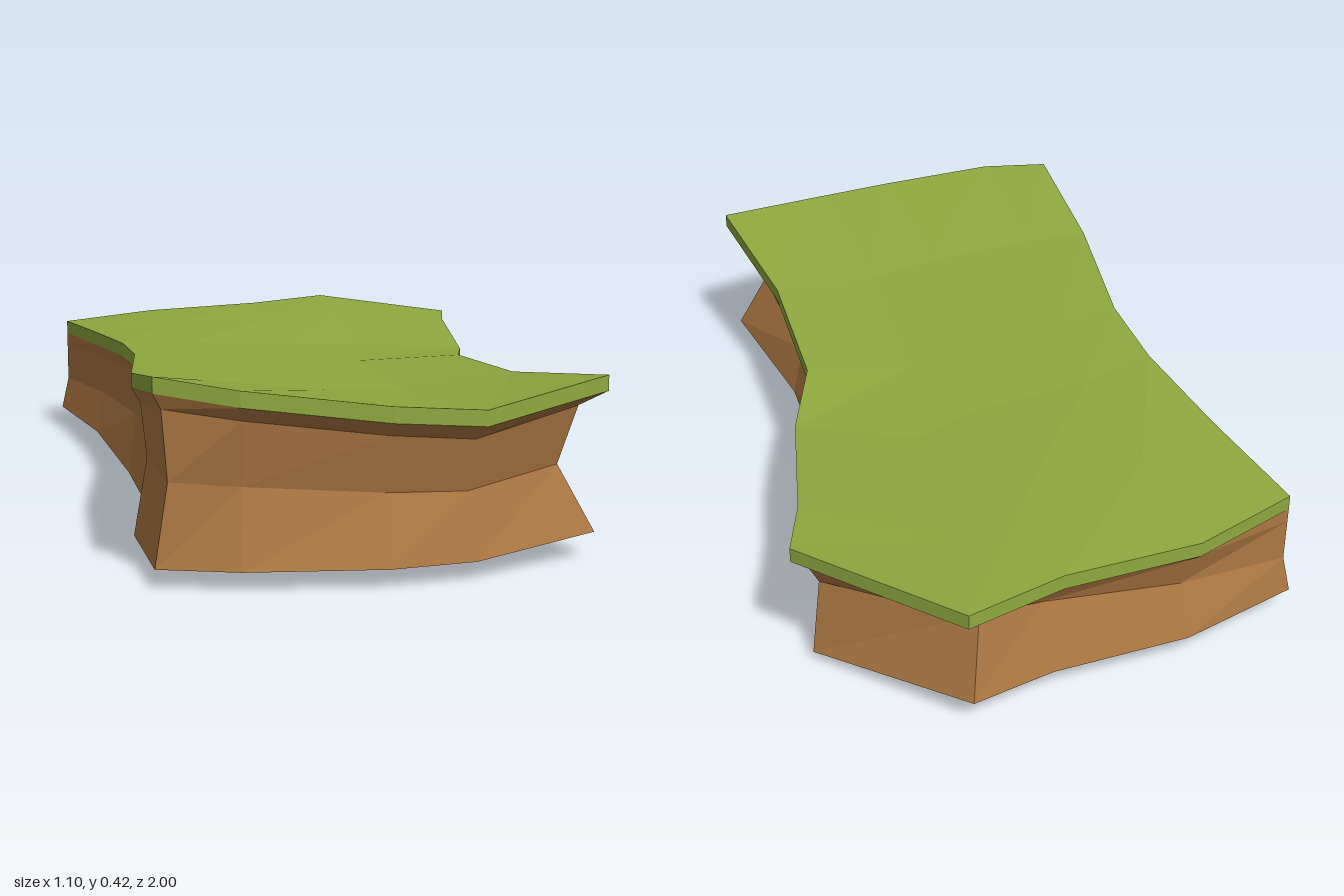
import * as THREE from 'three';

// Outline, counter-clockwise from above, starting at the front -x corner:
// x, z, turf height, waist inset, waist height, foot inset, foot height
const OUTLINE = [
  [-0.44, 0.90, 0.42, 0.03, 0.21, 0.0, 0.04],
  [-0.28, 0.97, 0.40, 0.06, 0.20, 0.02, 0.04],
  [0.01, 0.995, 0.365, 0.07, 0.18, 0.015, 0.04],
  [0.20, 0.985, 0.35, 0.07, 0.175, 0.03, 0.04],
  [0.495, 0.84, 0.385, 0.10, 0.195, 0.02, 0.055],
  [0.41, 0.46, 0.33, 0.06, 0.14, 0.03, 0.015],
  [0.395, 0.06, 0.305, 0.05, 0.14, 0.03, 0.012],
  [0.46, -0.16, 0.285, 0.07, 0.13, 0.04, 0.01],
  [0.51, -0.53, 0.31, 0.08, 0.21, 0.05, 0.035],
  [0.55, -0.68, 0.313, 0.07, 0.195, 0.045, 0.02],
  [0.25, -1.0, 0.325, 0.12, 0.235, 0.06, 0.055],
  [0.03, -0.91, 0.318, 0.08, 0.20, 0.03, 0.05],
  [-0.28, -0.86, 0.31, 0.06, 0.17, 0.02, 0.05],
  [-0.53, -0.73, 0.302, 0.0, 0.14, -0.02, 0.055],
  [-0.47, -0.42, 0.315, 0.02, 0.15, 0.0, 0.045],
  [-0.42, -0.11, 0.33, 0.03, 0.15, 0.01, 0.0],
  [-0.41, 0.13, 0.34, 0.03, 0.16, 0.01, 0.0],
  [-0.45, 0.53, 0.365, 0.03, 0.18, 0.0, 0.01],
];
const N = OUTLINE.length, COLS = 4, ROWS = 5;

// Ring of points at a given height, pulled in from the outline
function makeRing(inset, height) {
  return OUTLINE.map((p, i) => {
    const a = OUTLINE[(i + N - 1) % N], b = OUTLINE[(i + 1) % N];
    const n = new THREE.Vector2(a[1] - b[1], b[0] - a[0]).normalize();
    return new THREE.Vector3(p[0] - n.x * inset(p), height(p), p[1] - n.y * inset(p));
  });
}

function quad(out, a, b, c, d) {
  for (const v of [a, b, c, a, c, d]) out.push(v.x, v.y, v.z);
}

// Walls between successive rings, from top to bottom
function addWalls(out, rings) {
  for (let k = 0; k + 1 < rings.length; k++) {
    for (let i = 0; i < N; i++) {
      const j = (i + 1) % N;
      quad(out, rings[k + 1][i], rings[k + 1][j], rings[k][j], rings[k][i]);
    }
  }
}

// Gently curved surface blended from its four boundary edges
function addCap(out, ring, up) {
  const front = c => ring[c], back = c => ring[COLS + ROWS + COLS - c];
  const right = r => ring[COLS + r], left = r => ring[(N - r) % N];
  const point = (r, c) => {
    const u = c / COLS, v = r / ROWS, p = new THREE.Vector3();
    p.addScaledVector(front(c), 1 - v).addScaledVector(back(c), v);
    p.addScaledVector(left(r), 1 - u).addScaledVector(right(r), u);
    p.addScaledVector(front(0), -(1 - u) * (1 - v)).addScaledVector(front(COLS), -u * (1 - v));
    return p.addScaledVector(back(0), -(1 - u) * v).addScaledVector(back(COLS), -u * v);
  };
  for (let r = 0; r < ROWS; r++) {
    for (let c = 0; c < COLS; c++) {
      const q = [point(r, c), point(r, c + 1), point(r + 1, c + 1), point(r + 1, c)];
      if (!up) q.reverse();
      quad(out, ...q);
    }
  }
}

function makeMesh(name, positions, color) {
  const geometry = new THREE.BufferGeometry();
  geometry.setAttribute('position', new THREE.Float32BufferAttribute(positions, 3));
  geometry.computeVertexNormals();
  const mesh = new THREE.Mesh(geometry, new THREE.MeshStandardMaterial({ color, flatShading: true }));
  mesh.name = name;
  return mesh;
}

export function createModel() {
  const turfTop = makeRing(() => 0, p => p[2]);
  const turfEdge = makeRing(() => 0, p => p[2] - 0.033);
  const lip = makeRing(p => p[3] * 0.6, p => p[2] - 0.065);
  const waist = makeRing(p => p[3], p => p[4]);
  const foot = makeRing(p => p[5], p => p[6]);

  // Grass slab: top surface and thin rim
  const grass = [];
  addCap(grass, turfTop, true);
  addWalls(grass, [turfTop, turfEdge]);

  // Soil: undercut lip, pinched waist, flared foot and underside
  const soil = [];
  addWalls(soil, [turfEdge, lip, waist, foot]);
  addCap(soil, foot, false);

  const group = new THREE.Group();
  group.name = 'grassyPlatform';
  group.add(makeMesh('grassTop', grass, 0x8fa83f), makeMesh('soilBase', soil, 0xad7843));
  return group;
}
